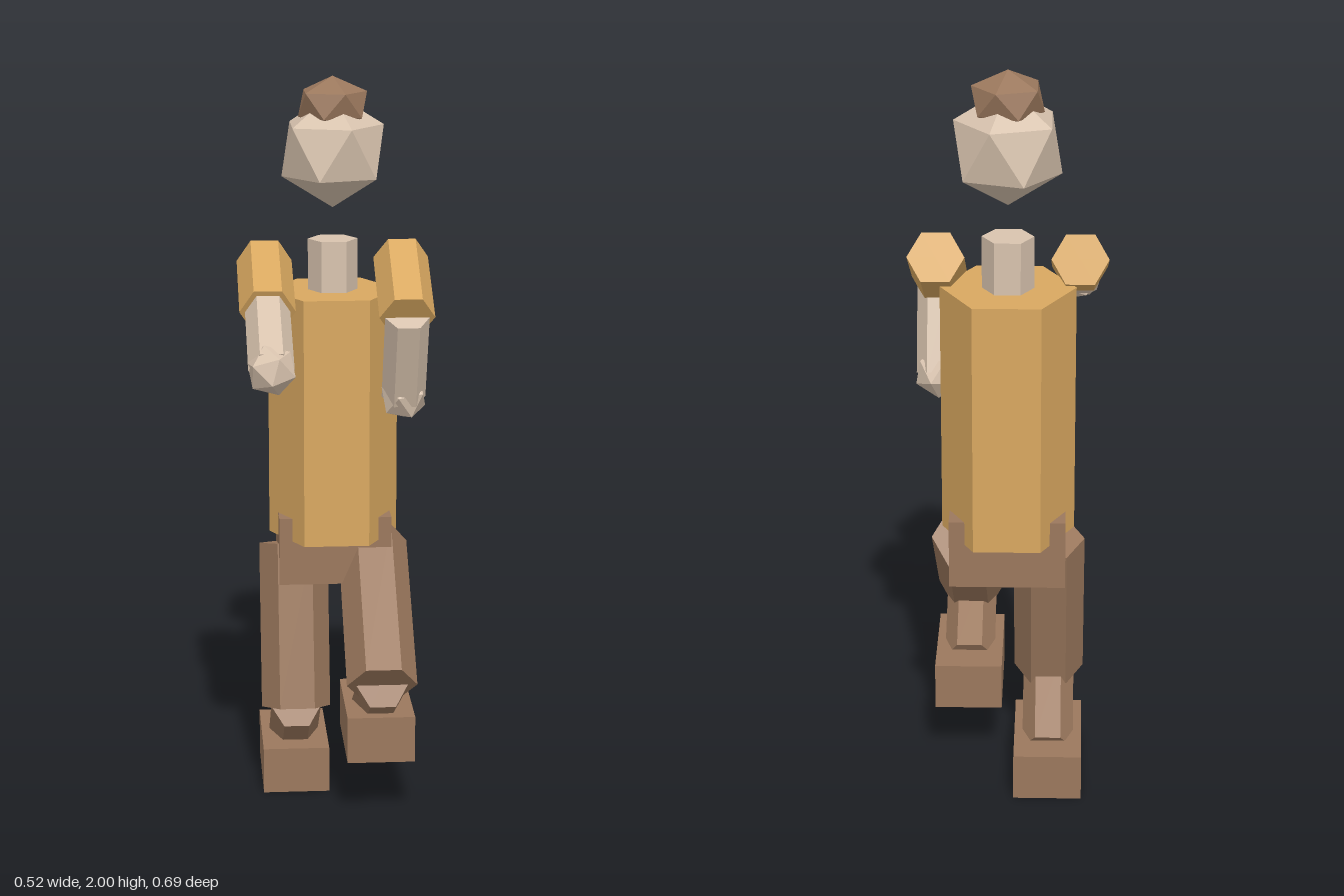
import * as THREE from 'three';

const material = (name, color) => {
  const m = new THREE.MeshStandardMaterial({ color, flatShading: true });
  m.name = name;
  return m;
};

export function createModel() {
  const gold = material('gold cloth', 0xd9a860);
  const brown = material('brown', 0x9b785d);
  const skin = material('pale skin', 0xd8c3ae);
  const model = new THREE.Group();
  const up = new THREE.Vector3(0, 1, 0);

  const add = (name, geometry, mat, x, y, z) => {
    const mesh = new THREE.Mesh(geometry, mat);
    mesh.name = name;
    mesh.position.set(x, y, z);
    model.add(mesh);
    return mesh;
  };

  // Six-sided prism with corners on the x axis
  const hex = (radius, height) =>
    new THREE.CylinderGeometry(radius, radius, height, 6, 1, false, Math.PI / 2);

  // Icosahedron standing on one corner
  const gem = (radius) =>
    new THREE.IcosahedronGeometry(radius, 0).rotateZ(-Math.atan(2 / (1 + Math.sqrt(5))));

  // Hexagonal limb between two [y, z] points at a fixed x
  const limb = (name, mat, radius, x, a, b) => {
    const from = new THREE.Vector3(x, ...a);
    const to = new THREE.Vector3(x, ...b);
    const dir = to.clone().sub(from);
    const mid = from.clone().add(to).multiplyScalar(0.5);
    const mesh = add(name, hex(radius, dir.length()), mat, mid.x, mid.y, mid.z);
    mesh.quaternion.setFromUnitVectors(up, dir.normalize());
    return mesh;
  };

  // Body
  add('torso', hex(0.178, 0.685).scale(1, 1, 1.07), gold, 0, 1.0775, -0.155);
  add('pelvis', new THREE.BoxGeometry(0.31, 0.19, 0.23), brown, 0, 0.705, -0.16);
  add('neck', hex(0.068, 0.16), skin, 0, 1.48, -0.16);
  add('head', gem(0.155), skin, 0, 1.8, -0.163);
  add('hair', gem(0.104).scale(1, 0.72, 1), brown, 0, 1.925, -0.163);

  // Arms and legs in mid stride, joints given as [y, z]
  const sides = [
    {
      side: 'left', s: 1,
      shoulder: [1.505, -0.17], elbow: [1.378, 0.038], hand: [1.14, -0.057],
      hip: [0.7, -0.155], knee: [0.395, 0.19], ankle: [0.265, -0.026], foot: [0.23, 0.017],
    },
    {
      side: 'right', s: -1,
      shoulder: [1.5, -0.165], elbow: [1.403, 0.059], hand: [1.296, 0.286],
      hip: [0.7, -0.155], knee: [0.254, -0.044], ankle: [0.1, -0.233], foot: [0.065, -0.188],
    },
  ];
  for (const p of sides) {
    const armX = 0.187 * p.s;
    const legX = 0.111 * p.s;
    limb(p.side + ' upper arm', gold, 0.075, armX, p.shoulder, p.elbow);
    const forearm = limb(p.side + ' forearm', skin, 0.06, armX, p.elbow, p.hand);
    const hand = add(p.side + ' hand', gem(0.068), skin, armX, ...p.hand);
    hand.quaternion.copy(forearm.quaternion);
    limb(p.side + ' thigh', brown, 0.096, legX, p.hip, p.knee);
    limb(p.side + ' shin', brown, 0.07, legX, p.knee, p.ankle);
    add(p.side + ' foot', new THREE.BoxGeometry(0.185, 0.13, 0.315), brown, legX, ...p.foot);
  }
  return model;
}
